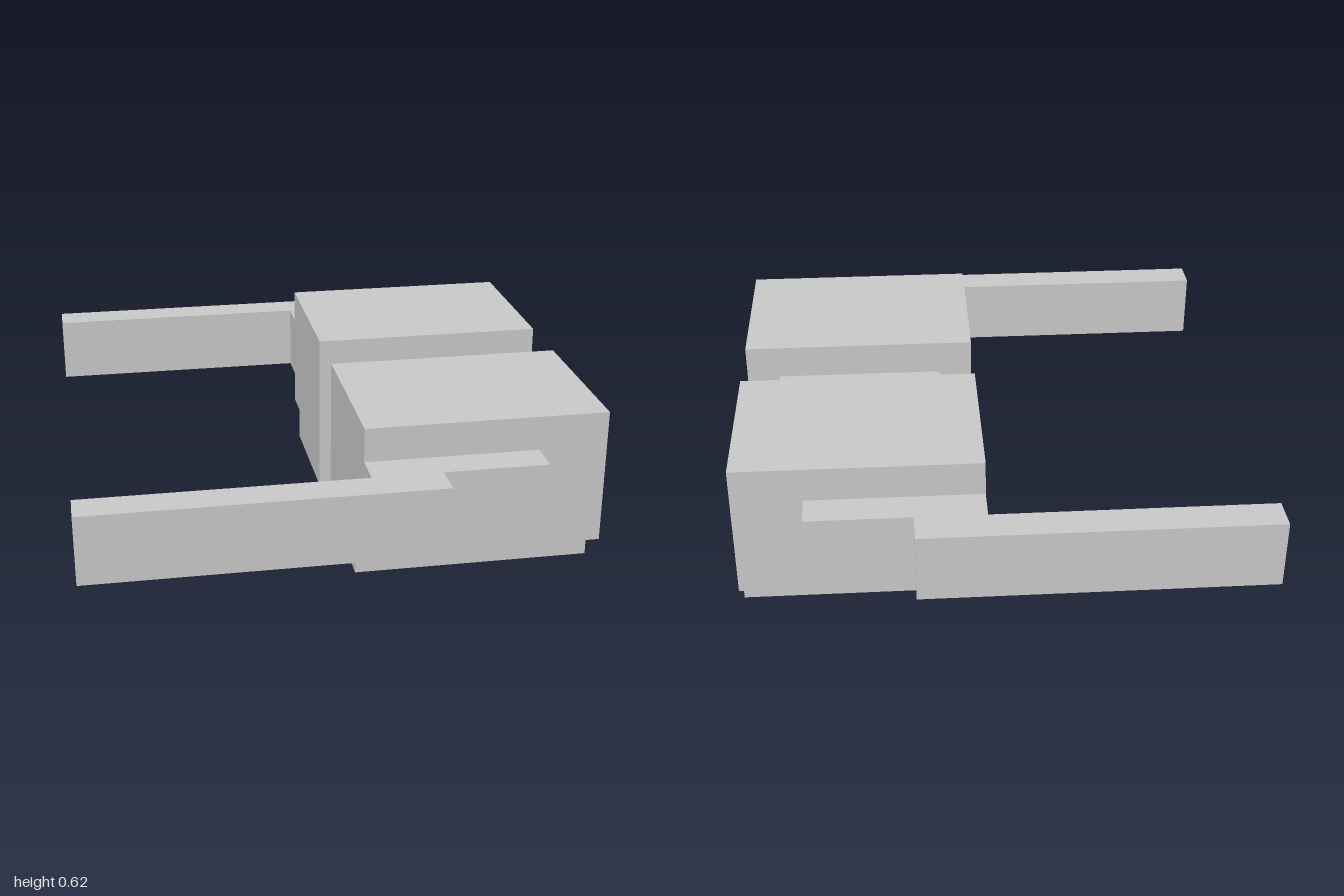
import * as THREE from 'three';

const material = new THREE.MeshStandardMaterial({ color: 0xcccccc, flatShading: true });

// Box between two opposite corners; side = -1 mirrors it across z = 0
function block(name, [x0, x1], [y0, y1], [z0, z1], side = 1) {
  const mesh = new THREE.Mesh(new THREE.BoxGeometry(x1 - x0, y1 - y0, z1 - z0), material);
  mesh.position.set((x0 + x1) / 2, (y0 + y1) / 2, side * (z0 + z1) / 2);
  mesh.name = name;
  return mesh;
}

export function createModel() {
  const model = new THREE.Group();
  model.name = 'goggles';

  const back = 0.0625, lens = 0.8125, front = 0.9375;

  // Bridge joining the two eyepieces
  model.add(block('bridge', [0.1875, lens], [0.125, 0.5], [-0.125, 0.125]));

  for (const side of [1, -1]) {
    const half = new THREE.Group();
    half.name = side > 0 ? 'frontEyepiece' : 'backEyepiece';
    half.add(
      // Housing ends at the recessed lens face
      block('housing', [back, lens], [0.125, 0.625], [0.125, 0.75], side),
      block('lowerLedge', [back, front], [0, 0.125], [0.125, 0.625], side),
      // Rim around the lens recess; the ledge forms its floor
      block('rimTop', [lens, front], [0.5, 0.625], [0.125, 0.75], side),
      block('rimInner', [lens, front], [0.125, 0.5], [0.125, 0.25], side),
      block('rimOuter', [lens, front], [0.125, 0.5], [0.625, 0.75], side),
      // Hinge and temple arm
      block('hinge', [back, 0.6875], [0.25, 0.5], [0.75, 0.875], side),
      block('templeArm', [-0.9375, 0.3125], [0.25, 0.5], [0.875, 1], side)
    );
    model.add(half);
  }
  return model;
}
